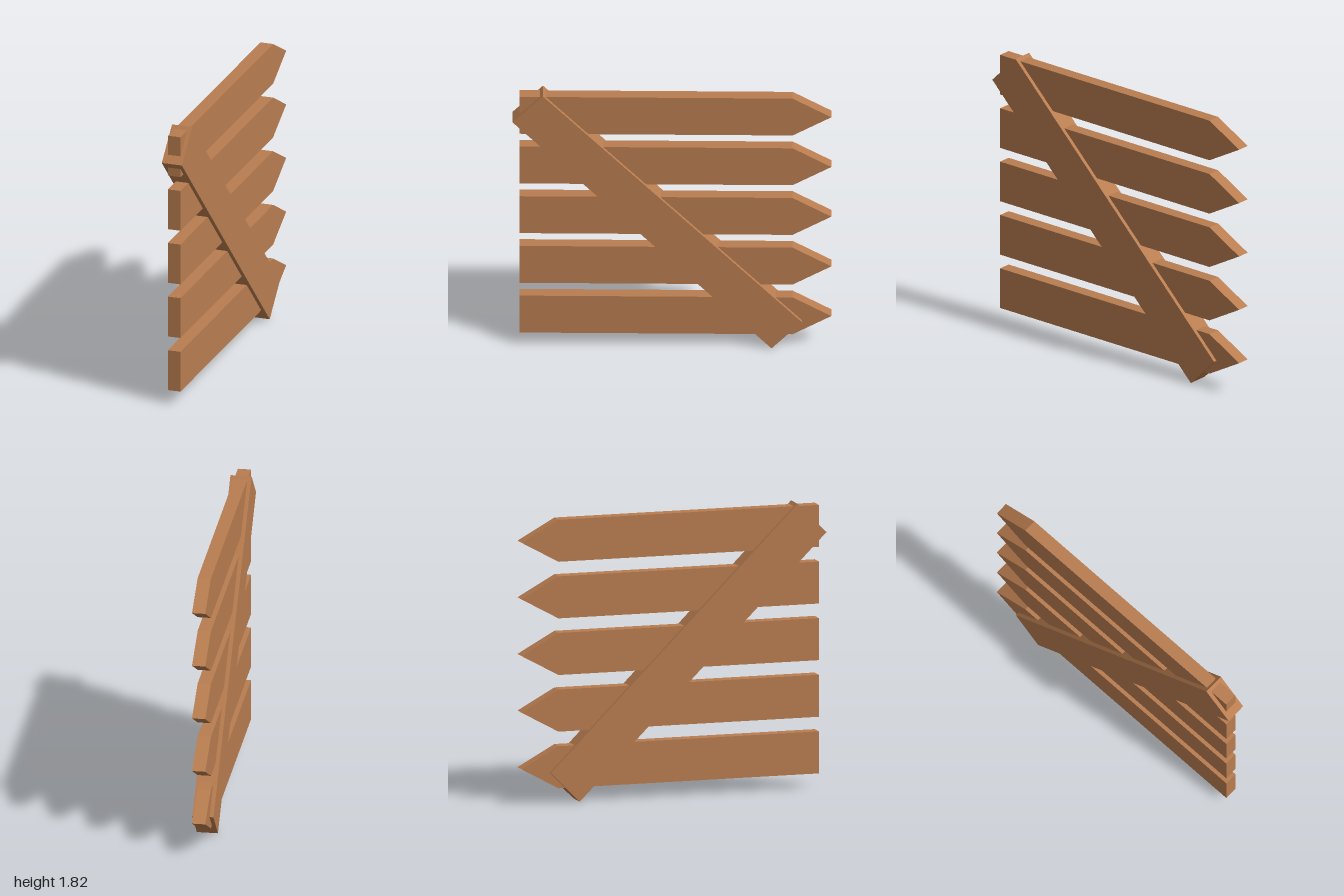
import * as THREE from 'three';

const wood = new THREE.MeshStandardMaterial({ color: 0xb97d50, flatShading: true });

// Board cut from a side outline of [z, y] corners, centred across x
function board(name, corners, thickness) {
  const shape = new THREE.Shape(corners.map(([z, y]) => new THREE.Vector2(-z, y)));
  const geometry = new THREE.ExtrudeGeometry(shape, { depth: thickness, bevelEnabled: false });
  geometry.translate(0, 0, -thickness / 2);
  geometry.rotateY(Math.PI / 2);
  const mesh = new THREE.Mesh(geometry, wood);
  mesh.name = name;
  return mesh;
}

export function createModel() {
  const group = new THREE.Group();
  group.name = 'plankPanel';

  // Five stacked planks, pointed at the back end
  const half = 0.134;
  for (let i = 0; i < 5; i++) {
    const plank = board('plank' + (i + 1), [
      [0.957, -half], [-0.757, -half], [-1, 0], [-0.757, half], [0.957, half],
    ], 0.084);
    plank.position.y = 0.223 + i * 0.361;
    group.add(plank);
  }

  // Thicker diagonal brace running through all planks
  group.add(board('diagonalBrace', [
    [1, 1.63], [-0.625, 0], [-0.815, 0.192], [0.81, 1.82],
  ], 0.134));

  return group;
}
